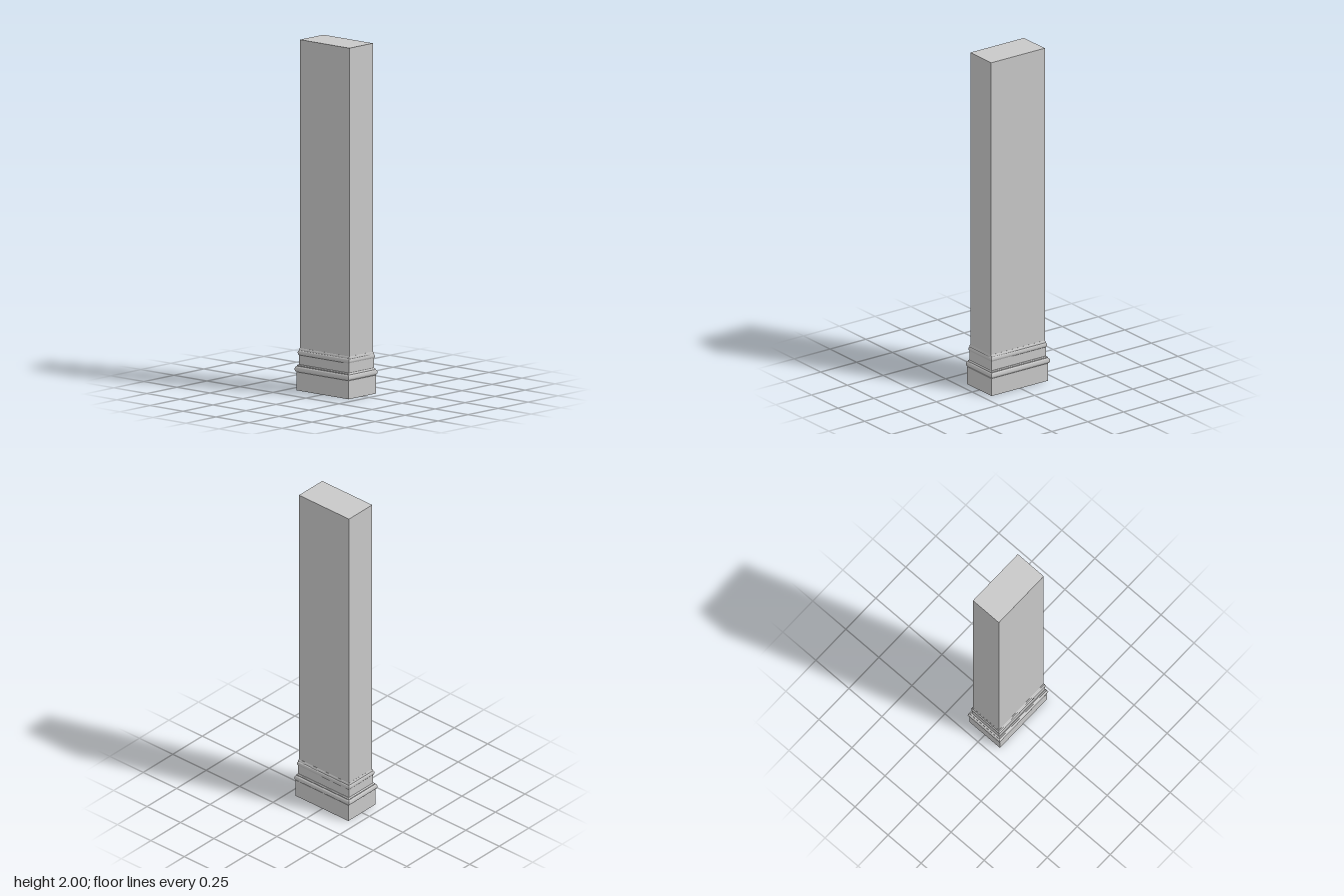
import * as THREE from 'three';
import { toCreasedNormals } from 'three/addons/utils/BufferGeometryUtils.js';

const stone = new THREE.MeshStandardMaterial({ color: 0xc8c8c8 });
stone.name = 'pale stone';

// Stacks rectangular rings [y, halfX, halfZ, centreZ] into a closed, mitred solid
function loft(name, rings) {
  const pos = [], index = [];
  for (const [y, hx, hz, cz] of rings) {
    pos.push(-hx, y, cz + hz, hx, y, cz + hz, hx, y, cz - hz, -hx, y, cz - hz);
  }
  for (let r = 0; r < rings.length - 1; r++) {
    for (let i = 0; i < 4; i++) {
      const a = r * 4 + i, b = r * 4 + (i + 1) % 4;
      index.push(a, b, b + 4, a, b + 4, a + 4);
    }
  }
  const t = (rings.length - 1) * 4;
  index.push(0, 2, 1, 0, 3, 2, t, t + 1, t + 2, t, t + 2, t + 3);
  const geo = new THREE.BufferGeometry();
  geo.setAttribute('position', new THREE.Float32BufferAttribute(pos, 3));
  geo.setIndex(index);
  const mesh = new THREE.Mesh(toCreasedNormals(geo, 0.7), stone);
  mesh.name = name;
  return mesh;
}

// Half-round moulding running around the pillar
function roundMoulding(name, y0, y1, hx, hz, cz, bulge) {
  const rings = [], steps = 8;
  for (let i = 0; i <= steps; i++) {
    const a = (i / steps) * Math.PI;
    const out = bulge * (Math.sin(a) - 1);
    rings.push([(y0 + y1) / 2 - Math.cos(a) * (y1 - y0) / 2, hx + out, hz + out, cz]);
  }
  return loft(name, rings);
}

export function createModel() {
  const pillar = new THREE.Group();
  pillar.name = 'pillar';
  pillar.add(
    loft('plinth', [[0, 0.115, 0.197, 0.003], [0.105, 0.115, 0.197, 0.003]]),
    roundMoulding('lowerMoulding', 0.104, 0.138, 0.121, 0.204, 0, 0.011),
    // Thin sloped lip above the lower moulding
    loft('lowerLip', [[0.134, 0.112, 0.196, 0.001], [0.142, 0.112, 0.196, 0.001],
      [0.147, 0.107, 0.191, 0.002]]),
    loft('neck', [[0.14, 0.103, 0.190, 0.003], [0.205, 0.103, 0.190, 0.003]]),
    roundMoulding('upperMoulding', 0.2, 0.228, 0.108, 0.194, 0.002, 0.007),
    loft('upperLip', [[0.222, 0.103, 0.190, 0.003], [0.233, 0.103, 0.190, 0.003],
      [0.24, 0.0985, 0.1875, 0.003]]),
    loft('shaft', [[0.2, 0.098, 0.187, 0.003], [2, 0.098, 0.187, 0.003]])
  );
  return pillar;
}
